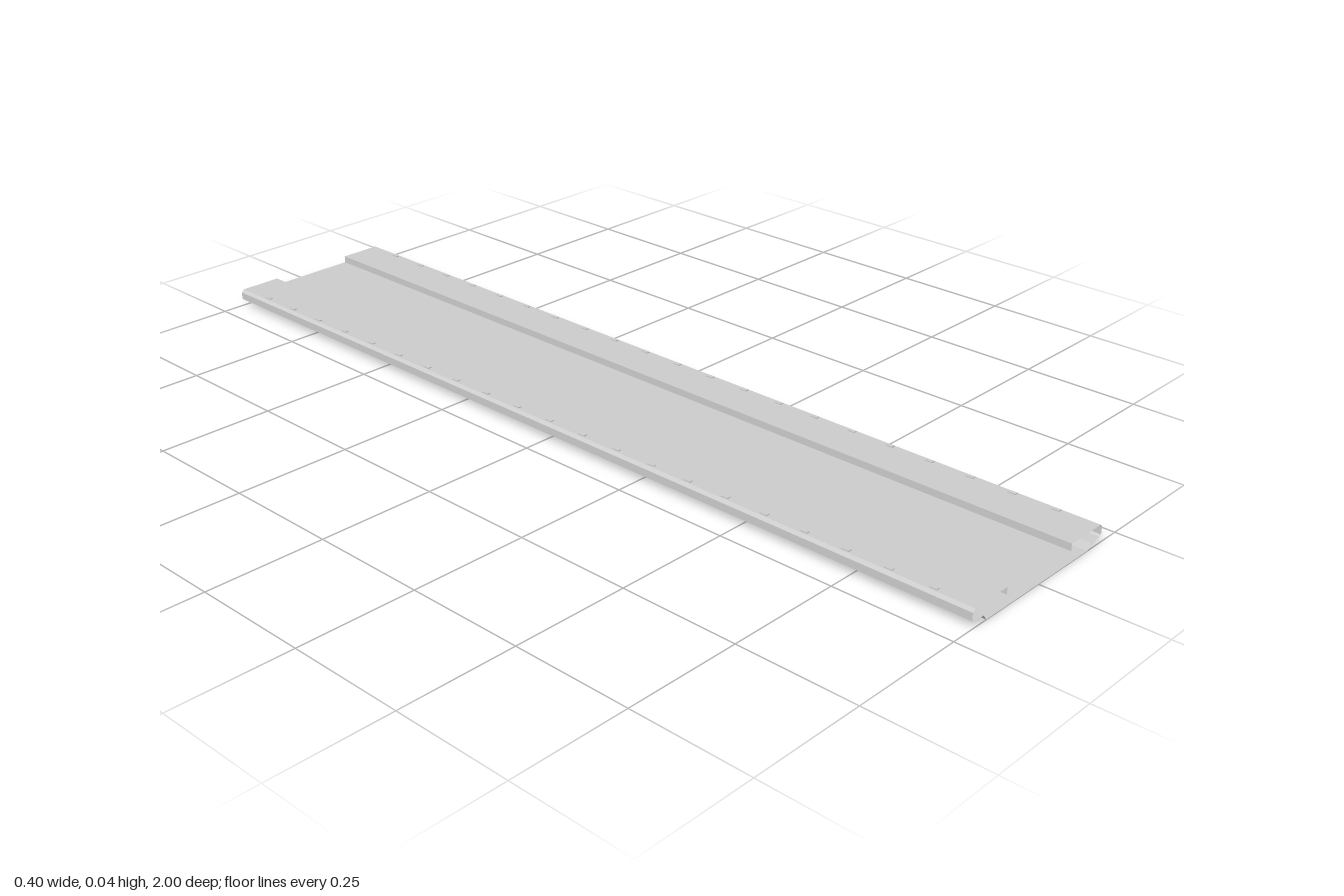
import * as THREE from 'three';

const HALF_LENGTH = 1;
const material = new THREE.MeshStandardMaterial({ color: 0xcccccc, flatShading: true, side: THREE.DoubleSide });

// Open sheet: a cross-section of [x, y] points swept along z
function sheet(name, points) {
  const positions = [];
  for (let i = 0; i < points.length - 1; i++) {
    const [ax, ay] = points[i];
    const [bx, by] = points[i + 1];
    const a0 = [ax, ay, -HALF_LENGTH], a1 = [ax, ay, HALF_LENGTH];
    const b0 = [bx, by, -HALF_LENGTH], b1 = [bx, by, HALF_LENGTH];
    positions.push(...a0, ...a1, ...b1, ...a0, ...b1, ...b0);
  }
  const geometry = new THREE.BufferGeometry();
  geometry.setAttribute('position', new THREE.Float32BufferAttribute(positions, 3));
  geometry.computeVertexNormals();
  const mesh = new THREE.Mesh(geometry, material);
  mesh.name = name;
  return mesh;
}

export function createModel() {
  const model = new THREE.Group();
  model.name = 'hollowPanel';

  // Top skin: two raised flanges with a shallow channel between them
  model.add(sheet('topSkin', [
    [-0.194, 0.038], [-0.1, 0.038], [-0.1, 0.023],
    [0.1, 0.023], [0.1, 0.038], [0.194, 0.038],
  ]));

  // Flat underside
  model.add(sheet('bottomSkin', [[0.157, 0], [-0.157, 0]]));

  for (const [side, label] of [[1, 'left'], [-1, 'right']]) {
    // Side wall: bevelled lip, undercut, then a steep return to the underside
    const wall = [[0.194, 0.038], [0.2, 0.032], [0.2, 0.016], [0.194, 0.013], [0.166, 0.012], [0.157, 0]]
      .map(([x, y]) => [x * side, y]);
    if (side < 0) wall.reverse();
    model.add(sheet(label + 'SideWall', wall));

    // Row of tiny raised tabs along the outer edge of the flange
    const tabs = new THREE.Group();
    tabs.name = label + 'Tabs';
    const tabGeometry = new THREE.BoxGeometry(0.008, 0.002, 0.016);
    for (let i = 0; i < 21; i++) {
      const tab = new THREE.Mesh(tabGeometry, material);
      tab.name = 'tab';
      tab.position.set(side * 0.187, 0.039, -0.914 + i * 0.0914);
      tabs.add(tab);
    }
    model.add(tabs);
  }
  return model;
}
